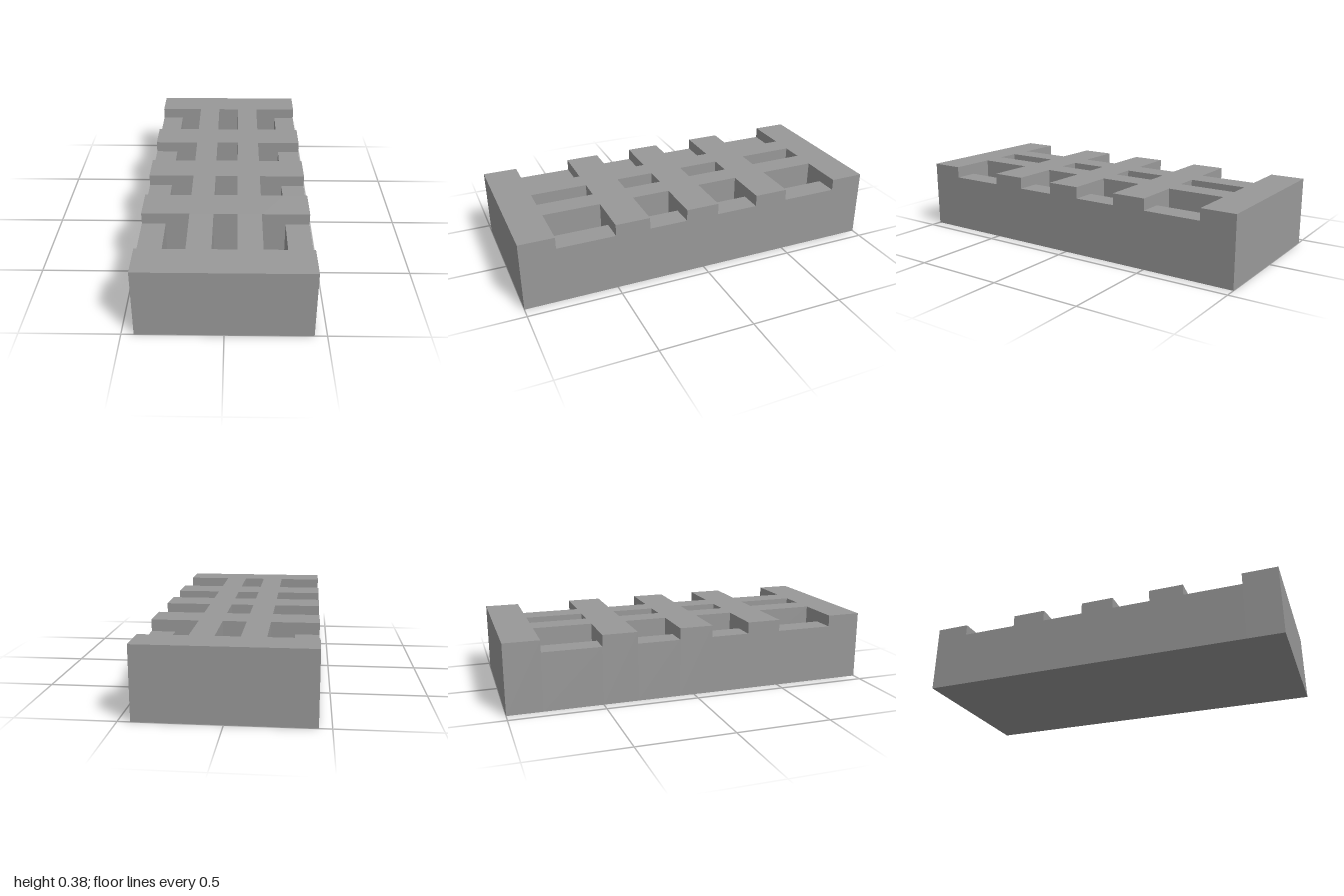
import * as THREE from 'three';

const TOP = 0.375, LEDGE = 0.3125, FLOOR = 0.125;

// Cut lines across the block, and along it
const xs = [-0.4375, -0.3125, -0.1875, -0.0625, 0.0625, 0.1875, 0.3125, 0.4375];
const zs = [-1, -0.8125, -0.5, -0.3125, -0.08, 0.103, 0.3125, 0.5, 0.8125, 1];

// Across a slotted row: open ledge, pocket, rib, pocket, rib, pocket, open ledge
const slotRow = [LEDGE, FLOOR, TOP, FLOOR, TOP, FLOOR, LEDGE];

// Height of one cell; zero outside the block
function height(i, j) {
  if (i < 0 || j < 0 || i >= xs.length - 1 || j >= zs.length - 1) return 0;
  return j % 2 === 1 ? slotRow[i] : TOP;
}

function makeGeometry(build) {
  const positions = [];
  build((a, b, c, d) => positions.push(...a, ...b, ...c, ...a, ...c, ...d));
  const geometry = new THREE.BufferGeometry();
  geometry.setAttribute('position', new THREE.Float32BufferAttribute(positions, 3));
  geometry.computeVertexNormals();
  return geometry;
}

export function createModel() {
  const grey = new THREE.MeshStandardMaterial({ color: 0x999999 });
  grey.name = 'grey';
  const group = new THREE.Group();
  group.name = 'slottedBlock';

  const add = (name, build) => {
    const mesh = new THREE.Mesh(makeGeometry(build), grey);
    mesh.name = name;
    group.add(mesh);
  };

  // Top face, ledges and pocket floors
  add('topLedgesAndFloors', (quad) => {
    for (let i = 0; i < xs.length - 1; i++) {
      for (let j = 0; j < zs.length - 1; j++) {
        const h = height(i, j), [x0, x1, z0, z1] = [xs[i], xs[i + 1], zs[j], zs[j + 1]];
        quad([x0, h, z1], [x1, h, z1], [x1, h, z0], [x0, h, z0]);
      }
    }
  });

  // Outer sides and pocket walls, wherever neighbouring heights differ
  add('sidesAndPocketWalls', (quad) => {
    xs.forEach((x, i) => {
      for (let j = 0; j < zs.length - 1; j++) {
        const a = height(i - 1, j), b = height(i, j), z0 = zs[j], z1 = zs[j + 1];
        if (a !== b) quad([x, b, z1], [x, b, z0], [x, a, z0], [x, a, z1]);
      }
    });
    zs.forEach((z, j) => {
      for (let i = 0; i < xs.length - 1; i++) {
        const a = height(i, j - 1), b = height(i, j), x0 = xs[i], x1 = xs[i + 1];
        if (a !== b) quad([x0, b, z], [x1, b, z], [x1, a, z], [x0, a, z]);
      }
    });
  });

  // Flat underside
  add('underside', (quad) => {
    const w = xs[xs.length - 1];
    quad([-w, 0, -1], [w, 0, -1], [w, 0, 1], [-w, 0, 1]);
  });

  return group;
}
